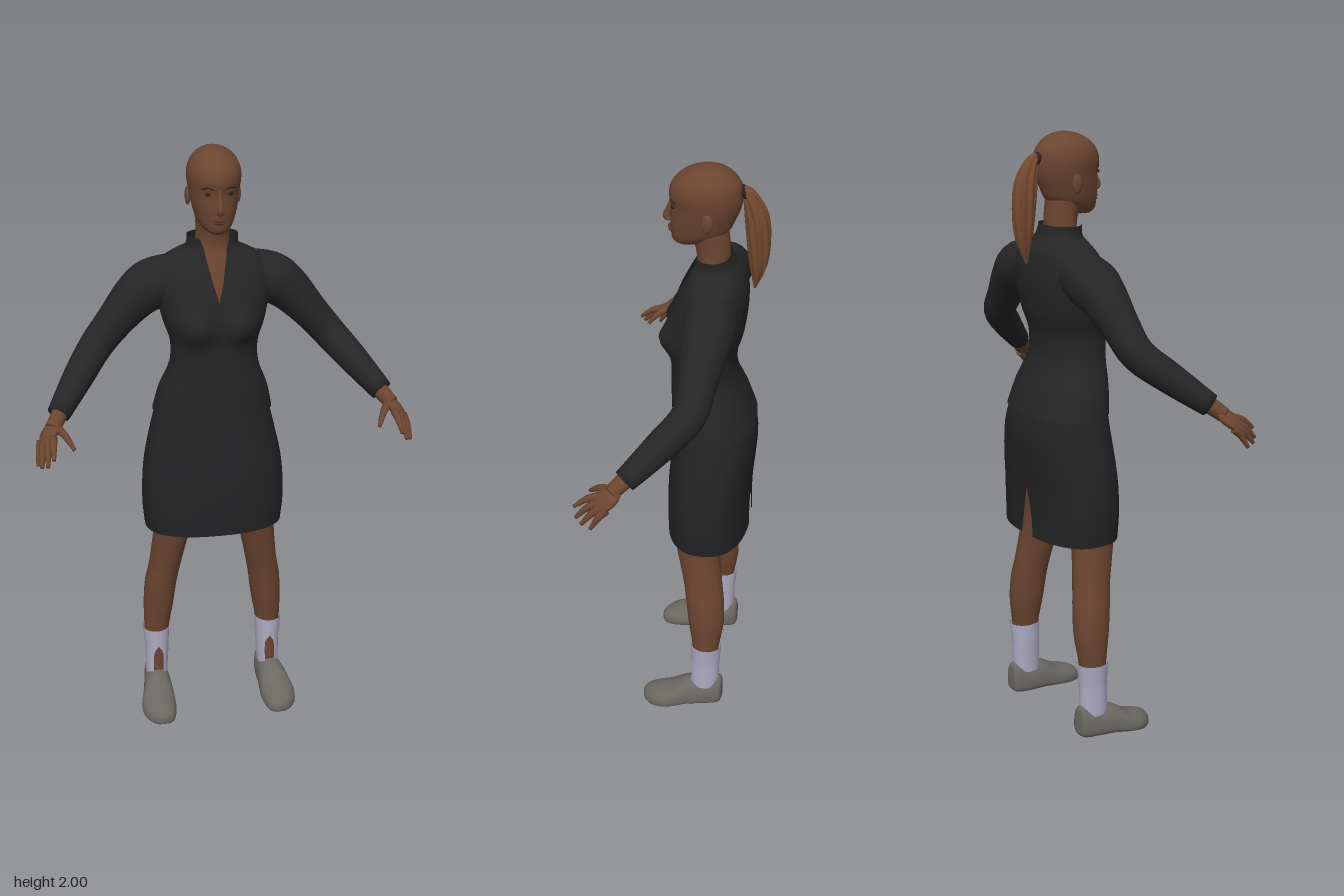
import * as THREE from 'three';

const material = (name, color, side = THREE.FrontSide) => {
  const m = new THREE.MeshStandardMaterial({ color, side });
  m.name = name;
  return m;
};

// Surface through rings of points; open rings keep a gap, capped ends are closed by a fan
function loft(rings, { closed = true, cap = true } = {}) {
  const n = rings[0].length, pos = rings.flat().flatMap(p => [p.x, p.y, p.z]), index = [];
  for (let j = 0; j < rings.length - 1; j++) {
    for (let i = 0; i < (closed ? n : n - 1); i++) {
      const a = j * n + i, b = j * n + (i + 1) % n;
      index.push(a, b, a + n, b, b + n, a + n);
    }
  }
  if (cap) {
    [0, rings.length - 1].forEach((j, end) => {
      const c = new THREE.Vector3();
      rings[j].forEach(p => c.addScaledVector(p, 1 / n));
      const k = pos.push(c.x, c.y, c.z) / 3 - 1;
      for (let i = 0; i < n; i++) {
        const a = j * n + i, b = j * n + (i + 1) % n;
        index.push(k, ...(end ? [a, b] : [b, a]));
      }
    });
  }
  const g = new THREE.BufferGeometry();
  g.setAttribute('position', new THREE.Float32BufferAttribute(pos, 3));
  g.setIndex(index);
  g.computeVertexNormals();
  return g;
}

// Smooth in-between rows of a profile table
function refine(rows, steps = 4) {
  const out = [], at = i => rows[Math.min(Math.max(i, 0), rows.length - 1)];
  for (let i = 0; i < rows.length - 1; i++) {
    for (let s = 0; s < steps; s++) {
      const t = s / steps;
      out.push(rows[i].map((b, c) => {
        const a = at(i - 1)[c], d = at(i + 1)[c], e = at(i + 2)[c];
        return b + 0.5 * t * (d - a + t * (2 * a - 5 * b + 4 * d - e + t * (3 * (b - d) + e - a)));
      }));
    }
  }
  out.push(at(rows.length));
  return out;
}

// Upright body form from rows of [y, half width, front z, back z, gap angle, centre x]
function body(rows, { power = 2, open = false, from = 0, cap = !open, warp = p => p, sides = 32 } = {}) {
  const bend = v => Math.sign(v) * Math.abs(v) ** (2 / power);
  const rings = refine(rows).map(([y, rx, zf, zb, gap = 0, cx = 0]) => {
    const g = Math.max(gap, 0), count = open ? sides + 1 : sides;
    return Array.from({ length: count }, (_, i) => {
      const a = from + g + (i / sides) * 2 * (Math.PI - g);
      return warp(new THREE.Vector3(
        cx + rx * bend(Math.sin(a)), y, (zf + zb) / 2 + (zf - zb) / 2 * bend(Math.cos(a))));
    });
  });
  return loft(rings, { closed: !open, cap });
}

// Tapered limb along points of [x, y, z, radius]
function limb(points, sides = 16, steps = 4, lobes = 0) {
  const rows = refine(points, steps);
  const centres = rows.map(r => new THREE.Vector3(r[0], r[1], r[2]));
  const side = new THREE.Vector3(0.31, 0.2, 0.93);
  return loft(rows.map((r, i) => {
    const t = centres[Math.min(i + 1, rows.length - 1)].clone().sub(centres[Math.max(i - 1, 0)]).normalize();
    const u = side.addScaledVector(t, -side.dot(t)).normalize().clone(), v = t.clone().cross(u);
    return Array.from({ length: sides }, (_, k) => {
      const a = k / sides * Math.PI * 2, rad = r[3] * (1 + lobes * Math.cos(a * 8 + i * 0.15));
      return centres[i].clone().addScaledVector(u, rad * Math.cos(a)).addScaledVector(v, rad * Math.sin(a));
    });
  }));
}

const blob = (x, y, z, sx, sy, sz) => new THREE.SphereGeometry(1, 16, 12).scale(sx, sy, sz).translate(x, y, z);

function mirrored(geometry) {
  const g = geometry.clone().scale(-1, 1, 1);
  g.setIndex(Array.from(g.index.array).reverse());
  g.computeVertexNormals();
  return g;
}

export function createModel() {
  const model = new THREE.Group();
  model.name = 'woman';
  const skin = material('brown skin', 0x6b4530);
  const hair = material('brown hair', 0x74482f);
  const lip = material('dark lips', 0x5a332a);
  const dark = material('dark details', 0x2b211c);
  const jacketCloth = material('black jacket cloth', 0x252526, THREE.DoubleSide);
  const skirtCloth = material('black skirt cloth', 0x232325, THREE.DoubleSide);
  const sockCloth = material('pale lilac sock', 0xaeabc2, THREE.DoubleSide);
  const shoeLeather = material('grey shoe', 0x6b6863);

  const add = (name, geometry, mat) => {
    const m = new THREE.Mesh(geometry, mat);
    m.name = name;
    model.add(m);
  };
  const pair = (name, geometry, mat) => {
    add(name + 'Left', geometry, mat);
    add(name + 'Right', mirrored(geometry), mat);
  };

  // Head, neck and chest
  add('head', body([
    [1.742, 0.022, 0.028, -0.03], [1.757, 0.044, 0.042, -0.075], [1.79, 0.063, 0.046, -0.13],
    [1.83, 0.073, 0.047, -0.152], [1.87, 0.08, 0.045, -0.167], [1.91, 0.085, 0.051, -0.172],
    [1.945, 0.08, 0.04, -0.166], [1.975, 0.061, 0.01, -0.142], [1.994, 0.032, -0.03, -0.108],
    [2.0, 0.001, -0.069, -0.071]]), skin);
  add('neckAndChest', body([
    [1.48, 0.1, 0.022, -0.12], [1.58, 0.1, 0, -0.13], [1.64, 0.08, -0.02, -0.13],
    [1.68, 0.06, -0.034, -0.135], [1.73, 0.053, -0.03, -0.137], [1.8, 0.056, -0.01, -0.13]]), skin);

  // Face
  add('nose', limb([[0, 1.885, 0.042, 0.006], [0, 1.85, 0.052, 0.009], [0, 1.826, 0.059, 0.012],
    [0, 1.815, 0.052, 0.009]], 12), skin);
  add('upperLip', blob(0, 1.793, 0.045, 0.021, 0.005, 0.01), lip);
  add('lowerLip', blob(0, 1.784, 0.044, 0.018, 0.006, 0.01), lip);
  pair('nostril', blob(0.01, 1.819, 0.052, 0.007, 0.006, 0.008), skin);
  pair('eye', blob(0.034, 1.873, 0.034, 0.012, 0.006, 0.006), dark);
  pair('brow', limb([[0.016, 1.888, 0.044, 0.002], [0.034, 1.894, 0.038, 0.003],
    [0.052, 1.888, 0.025, 0.002]], 8), dark);
  pair('ear', blob(0.08, 1.845, -0.075, 0.009, 0.03, 0.018).rotateX(0), skin);

  // Ponytail
  add('ponytail', limb([[0, 1.925, -0.16, 0.014], [0, 1.912, -0.188, 0.021], [0, 1.85, -0.212, 0.033],
    [0, 1.77, -0.221, 0.034], [0, 1.68, -0.222, 0.025], [0, 1.6, -0.213, 0.003]], 48, 6, 0.1), hair);
  add('hairTie', new THREE.TorusGeometry(0.017, 0.007, 10, 20).rotateX(0.4).translate(0, 1.92, -0.175), dark);

  // Jacket with an open V neck, shaped bust and standing collar
  const bust = p => {
    if (p.z > -0.05) {
      p.z += 0.034 * Math.exp(-(((Math.abs(p.x) - 0.08) / 0.05) ** 2) - ((p.y - 1.44) / 0.055) ** 2);
    }
    return p;
  };
  add('jacket', body([
    [1.118, 0.199, 0.037, -0.232, 0], [1.2, 0.18, 0.041, -0.203, 0], [1.29, 0.146, 0.043, -0.167, 0],
    [1.37, 0.143, 0.044, -0.165, 0], [1.44, 0.165, 0.05, -0.184, 0], [1.52, 0.183, 0.04, -0.194, 0],
    [1.58, 0.188, 0.02, -0.194, 0.06], [1.63, 0.17, -0.004, -0.184, 0.12],
    [1.66, 0.125, -0.018, -0.168, 0.22], [1.68, 0.086, -0.026, -0.153, 0.38],
    [1.715, 0.082, -0.03, -0.14, 0.6]], { power: 2.3, open: true, warp: bust, sides: 48 }), jacketCloth);
  pair('sleeve', limb([
    [0.09, 1.585, -0.1, 0.07], [0.19, 1.555, -0.1, 0.083], [0.25, 1.515, -0.095, 0.074],
    [0.32, 1.44, -0.085, 0.06], [0.385, 1.365, -0.068, 0.054], [0.45, 1.295, 0.005, 0.049],
    [0.525, 1.212, 0.1, 0.037]], 24), jacketCloth);

  // Hands: wrist, palm, thumb and four fingers
  pair('wrist', limb([[0.51, 1.228, 0.08, 0.027], [0.532, 1.2, 0.115, 0.026], [0.55, 1.18, 0.137, 0.024]]), skin);
  const along = new THREE.Vector3(0.045, -0.06, 0.065).normalize();
  const across = new THREE.Vector3(0.05, -0.025, -0.055);
  across.addScaledVector(along, -across.dot(along)).normalize();
  const palm = new THREE.SphereGeometry(1, 16, 12).scale(0.036, 0.017, 0.05);
  palm.applyMatrix4(new THREE.Matrix4().makeBasis(across, along.clone().cross(across), along)
    .setPosition(0.56, 1.168, 0.148));
  pair('palm', palm, skin);
  const fingers = {
    indexFinger: [[0.55, 1.166, 0.175], [0.556, 1.122, 0.25]],
    middleFinger: [[0.565, 1.155, 0.172], [0.575, 1.096, 0.242]],
    ringFinger: [[0.58, 1.147, 0.16], [0.592, 1.086, 0.222]],
    littleFinger: [[0.588, 1.143, 0.145], [0.602, 1.08, 0.192]],
    thumb: [[0.532, 1.182, 0.145], [0.489, 1.136, 0.214]],
  };
  for (const [name, [a, b]] of Object.entries(fingers)) {
    const mid = a.map((v, i) => (v + b[i]) / 2);
    mid[1] += 0.008;
    pair(name, limb([[...a, 0.013], [...mid, 0.011], [...b, 0.006]], 10), skin);
  }

  // Skirt with a slit at the back hem
  add('skirt', body([
    [0.7, 0.234, 0.05, -0.222, 0.09], [0.78, 0.241, 0.051, -0.22, 0.05], [0.87, 0.239, 0.05, -0.223, 0],
    [0.95, 0.23, 0.045, -0.23, 0], [1.05, 0.208, 0.036, -0.235, 0], [1.14, 0.185, 0.028, -0.218, 0],
    [1.2, 0.165, 0.02, -0.185, 0]], { power: 2.4, open: true, from: Math.PI, sides: 48 }), skirtCloth);

  // Legs, and socks worn open at the front
  pair('leg', body([
    [0.1, 0.035, -0.058, -0.14, 0, 0.203], [0.2, 0.037, -0.058, -0.142, 0, 0.2],
    [0.28, 0.043, -0.055, -0.148, 0, 0.2], [0.38, 0.052, -0.04, -0.162, 0, 0.192],
    [0.47, 0.055, -0.03, -0.16, 0, 0.183], [0.55, 0.055, -0.018, -0.15, 0, 0.168],
    [0.69, 0.062, 0.01, -0.14, 0, 0.146], [0.85, 0.075, 0.03, -0.17, 0, 0.125],
    [1, 0.08, 0.02, -0.19, 0, 0.11]], { sides: 24 }), skin);
  pair('sock', body([
    [0.1, 0.038, -0.048, -0.148, 0.45, 0.203], [0.19, 0.041, -0.05, -0.15, 0.4, 0.201],
    [0.225, 0.043, -0.05, -0.152, 0, 0.201], [0.285, 0.047, -0.05, -0.156, 0, 0.203]],
  { open: true, sides: 24 }), sockCloth);

  // Shoes from heel to toe: [z, centre x, half width, sole y, top y]
  const shoe = refine([
    [-0.162, 0.203, 0.018, 0.04, 0.115], [-0.15, 0.203, 0.036, 0.026, 0.136], [-0.1, 0.204, 0.045, 0.02, 0.122],
    [-0.04, 0.208, 0.051, 0.016, 0.118], [0.02, 0.214, 0.06, 0.01, 0.082], [0.07, 0.214, 0.055, 0.003, 0.066],
    [0.105, 0.208, 0.036, 0.003, 0.05], [0.119, 0.206, 0.012, 0.012, 0.034]]);
  pair('shoe', loft(shoe.map(([z, cx, w, lo, hi]) => Array.from({ length: 24 }, (_, i) => {
    const a = i / 24 * Math.PI * 2, c = Math.cos(a), s = Math.sin(a), base = lo + (hi - lo) * 0.35;
    return s < 0
      ? new THREE.Vector3(cx + w * Math.sign(c) * Math.abs(c) ** 0.6, base - (base - lo) * Math.abs(s) ** 0.6, z)
      : new THREE.Vector3(cx + w * c, base + (hi - base) * s ** 0.9, z);
  }))), shoeLeather);

  return model;
}
